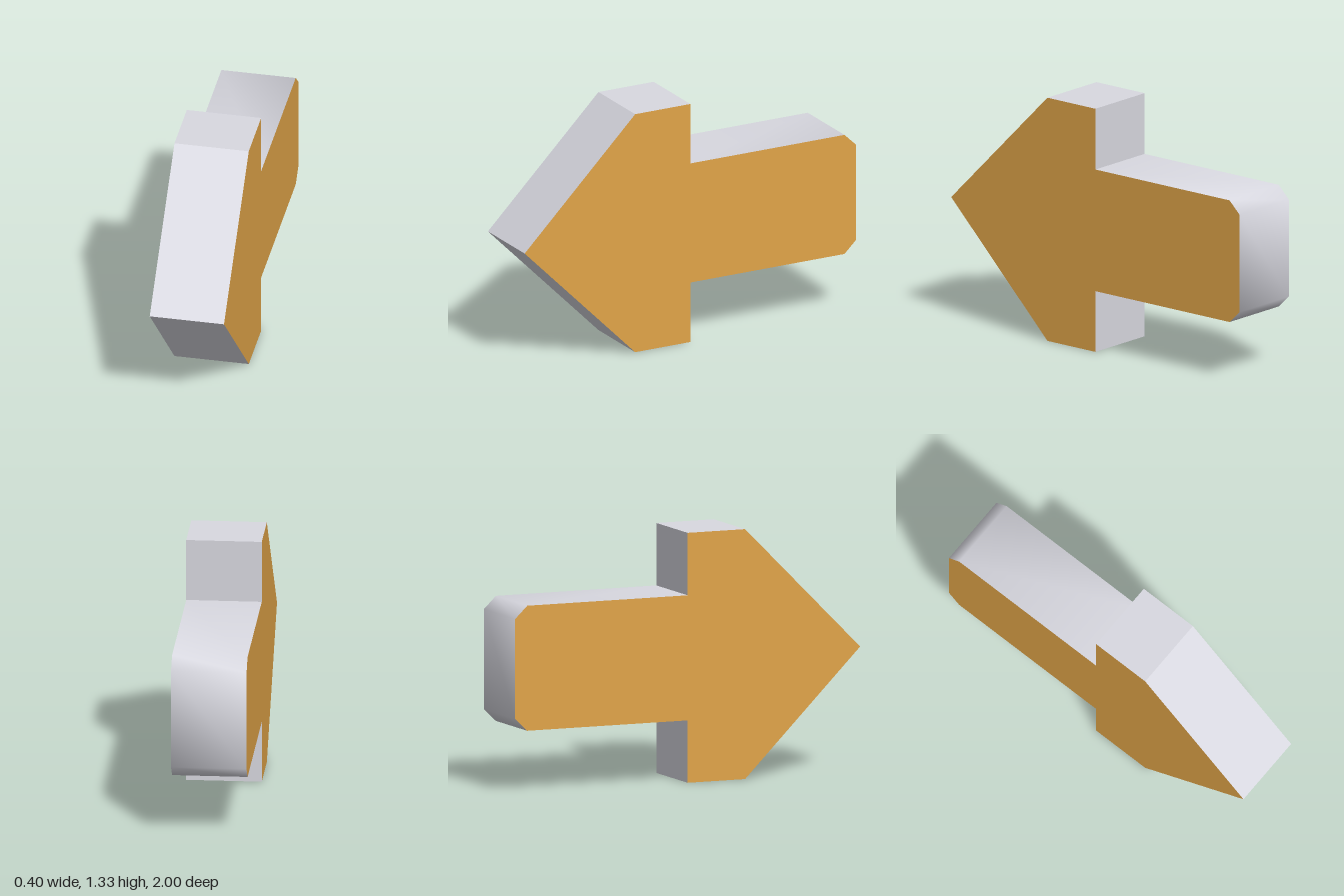
import * as THREE from 'three';
import { toCreasedNormals } from 'three/addons/utils/BufferGeometryUtils.js';

const HALF = 0.2;

// Outline points as [z, y]
const tail = [[0, 0.333], [-0.93, 0.333], [-1, 0.4], [-1, 0.933], [-0.93, 1], [0, 1]];
const head = [[0, 1], [0, 1.333], [0.333, 1.333], [1, 0.667], [0.333, 0], [0, 0], [0, 0.333]];

// Open band running across the thickness along an outline
function band(path, crease) {
  const pos = [];
  for (let i = 0; i < path.length - 1; i++) {
    const [z0, y0] = path[i];
    const [z1, y1] = path[i + 1];
    pos.push(-HALF, y0, z0, -HALF, y1, z1, HALF, y1, z1);
    pos.push(-HALF, y0, z0, HALF, y1, z1, HALF, y0, z0);
  }
  const geo = new THREE.BufferGeometry();
  geo.setAttribute('position', new THREE.Float32BufferAttribute(pos, 3));
  geo.computeVertexNormals();
  return crease ? toCreasedNormals(geo, crease) : geo;
}

// Flat arrow face on one side: +1 left, -1 right
function face(side) {
  const pts = [...tail, ...head.slice(1, -1)].map(([z, y]) => new THREE.Vector2(-side * z, y));
  const geo = new THREE.ShapeGeometry(new THREE.Shape(pts));
  geo.rotateY(side * Math.PI / 2);
  geo.translate(side * HALF, 0, 0);
  return geo;
}

export function createModel() {
  const orange = new THREE.MeshStandardMaterial({ color: 0xe0a448 });
  orange.name = 'orange';
  const grey = new THREE.MeshStandardMaterial({ color: 0xd8d8e0 });
  grey.name = 'paleGrey';

  const group = new THREE.Group();
  group.name = 'arrow';
  const add = (name, geo, mat) => {
    const mesh = new THREE.Mesh(geo, mat);
    mesh.name = name;
    group.add(mesh);
  };

  // Side faces
  add('leftFace', face(1), orange);
  add('rightFace', face(-1), orange);

  // Rim: sharp around the head, softened over the tail's cut corners
  add('headRim', band(head, 0), grey);
  add('tailRim', band(tail, 0.85), grey);
  return group;
}
